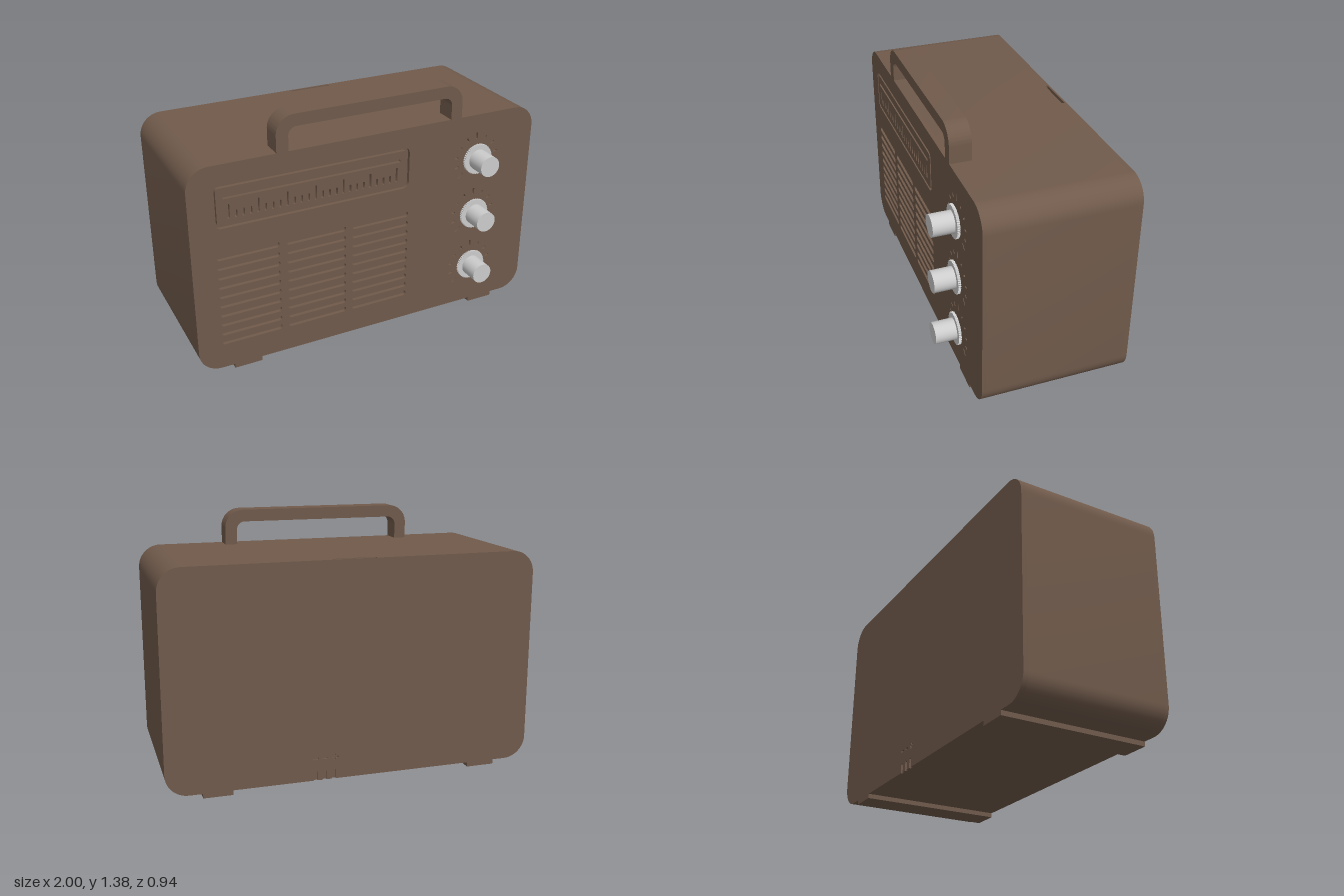
import * as THREE from 'three';
import { toCreasedNormals } from 'three/addons/utils/BufferGeometryUtils.js';

const V = (x, y) => new THREE.Vector2(x, y);

// Rounded rectangle outline, optionally turned about its centre.
function roundRect(cx, cy, w, h, r, steps = 4, angle = 0) {
  const pts = [];
  [[1, -1], [1, 1], [-1, 1], [-1, -1]].forEach(([sx, sy], i) => {
    for (let k = 0; k <= steps; k++) {
      const a = (i - 1 + k / steps) * Math.PI / 2;
      const p = V(sx * (w / 2 - r) + r * Math.cos(a), sy * (h / 2 - r) + r * Math.sin(a));
      pts.push(p.rotateAround(V(0, 0), angle).add(V(cx, cy)));
    }
  });
  return pts;
}

// Extrudes an outline with holes from z0 to z1.
function slab(name, outline, holes, z0, z1, material) {
  const shape = new THREE.Shape(outline);
  holes.forEach((h) => shape.holes.push(new THREE.Path(h)));
  const geo = new THREE.ExtrudeGeometry(shape, { depth: z1 - z0, bevelEnabled: false, curveSegments: 12 });
  geo.translate(0, 0, z0);
  const mesh = new THREE.Mesh(toCreasedNormals(geo, 0.5), material);
  mesh.name = name;
  return mesh;
}

export function createModel() {
  const radio = new THREE.Group();
  radio.name = 'radio';
  const brown = new THREE.MeshStandardMaterial({ color: 0x705a4b });
  brown.name = 'brown casing';
  const silver = new THREE.MeshStandardMaterial({ color: 0xcccccc });
  silver.name = 'silver knobs';

  const BACK = -0.47, FRONT = 0.33, BOTTOM = 0.025, TOP = 1.19, FACE = 0.31;
  const bodyOutline = () => roundRect(0, (TOP + BOTTOM) / 2, 2, TOP - BOTTOM, 0.12, 12);
  const knobX = 0.64, knobYs = [0.937, 0.602, 0.27];

  // Casing core and the strip holding the narrow slot on top
  radio.add(slab('casing', bodyOutline(), [], -0.445, FACE, brown));
  const slotted = bodyOutline();
  slotted.splice(26, 0, V(0.115, TOP), V(0.115, TOP - 0.02), V(-0.115, TOP - 0.02), V(-0.115, TOP));
  radio.add(slab('topSlotStrip', slotted, [], -0.46, -0.445, brown));

  // Back plate: three notches in the lower edge, polarity marks above
  const back = bodyOutline();
  for (const x of [0.115, 0.165, 0.215]) {
    back.push(V(x - 0.011, BOTTOM), V(x - 0.011, 0.075), V(x + 0.011, 0.075), V(x + 0.011, BOTTOM));
  }
  const plus = [[-1, -3], [1, -3], [1, -1], [3, -1], [3, 1], [1, 1], [1, 3], [-1, 3], [-1, 1], [-3, 1], [-3, -1], [-1, -1]]
    .map(([x, y]) => V(0.11 + x * 0.006, 0.145 + y * 0.006));
  const marks = [plus, roundRect(0.165, 0.145, 0.034, 0.01, 0.003, 2), roundRect(0.215, 0.145, 0.03, 0.012, 0.003, 2)];
  radio.add(slab('backPlate', back, marks, BACK, -0.46, brown));

  // Front plate: speaker slots, dial groove and knob scales
  const holes = [];
  for (const x of [-0.702, -0.324, 0.053]) {
    for (let i = 0; i < 10; i++) holes.push(roundRect(x, 0.182 + i * 0.0558, 0.34, 0.03, 0.0145));
  }
  for (const y of knobYs) {
    for (let i = -5; i <= 5; i++) {
      const a = Math.PI / 2 + i * 27 * Math.PI / 180;
      const long = i === 0 || Math.abs(i) === 5;
      const r = long ? 0.13 : 0.126, len = long ? 0.04 : 0.024;
      holes.push(roundRect(knobX + r * Math.cos(a), y + r * Math.sin(a), len, 0.011, 0.004, 2, a));
    }
  }
  holes.push(roundRect(-0.325, 0.963, 1.09, 0.235, 0.035, 6));
  radio.add(slab('frontPlate', bodyOutline(), holes, FACE, FRONT, brown));

  // Tuning dial with its scale
  const ticks = [roundRect(-0.327, 1.012, 0.985, 0.016, 0.006, 2)];
  for (let i = 0; i < 25; i++) {
    const h = i % 4 === 0 ? 0.08 : 0.042;
    ticks.push(roundRect(-0.793 + i * 0.039, 0.894 + h / 2, 0.013, h, 0.004, 2));
  }
  radio.add(slab('tuningDial', roundRect(-0.325, 0.963, 1.06, 0.205, 0.02, 6), ticks, FACE, FRONT, brown));

  // Carrying handle
  const grip = new THREE.Shape();
  grip.moveTo(0.532, TOP - 0.01);
  grip.lineTo(0.532, 1.28);
  grip.absarc(0.432, 1.28, 0.1, 0, Math.PI / 2);
  grip.absarc(-0.432, 1.28, 0.1, Math.PI / 2, Math.PI);
  grip.lineTo(-0.532, TOP - 0.01);
  grip.lineTo(-0.467, TOP - 0.01);
  grip.absarc(-0.422, 1.27, 0.045, Math.PI, Math.PI / 2, true);
  grip.absarc(0.422, 1.27, 0.045, Math.PI / 2, 0, true);
  grip.lineTo(0.467, TOP - 0.01);
  radio.add(slab('handle', grip.getPoints(12), [], 0.215, FRONT, brown));

  // Long feet running front to back
  for (const side of [-1, 1]) {
    const foot = new THREE.Mesh(new THREE.BoxGeometry(0.155, 0.035, FRONT - BACK), brown);
    foot.name = side > 0 ? 'leftFoot' : 'rightFoot';
    foot.position.set(side * 0.732, 0.0175, (FRONT + BACK) / 2);
    radio.add(foot);
  }

  // Knobs: finely toothed flange and a smooth cap
  for (const y of knobYs) {
    const knob = new THREE.Group();
    knob.name = 'knob';
    const rim = [];
    for (let i = 0; i < 96; i++) {
      const a = i / 96 * Math.PI * 2, r = i % 2 ? 0.084 : 0.088;
      rim.push(V(r * Math.cos(a), r * Math.sin(a)));
    }
    knob.add(slab('knobFlange', rim, [], 0.341, 0.356, silver));
    const cap = new THREE.Mesh(new THREE.CylinderGeometry(0.058, 0.058, 0.12, 48), silver);
    cap.name = 'knobCap';
    cap.rotation.x = Math.PI / 2;
    cap.position.z = 0.41;
    knob.add(cap);
    knob.position.set(knobX, y, 0);
    radio.add(knob);
  }
  return radio;
}
